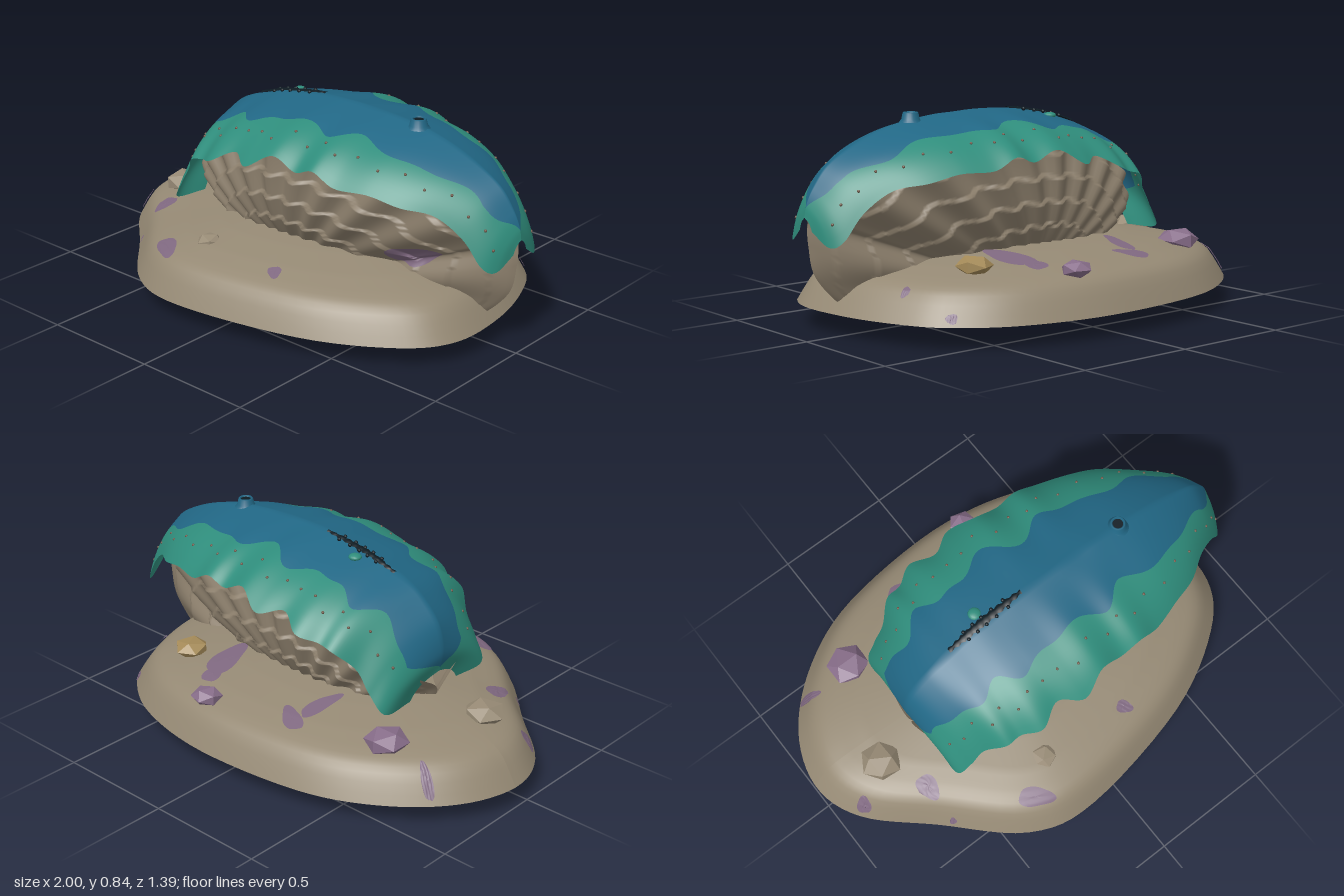
import * as THREE from 'three';

const mat = (name, color, flatShading = false) => {
  const m = new THREE.MeshStandardMaterial({ color, side: THREE.DoubleSide, flatShading });
  m.name = name;
  return m;
};

// Grid surface from fn(u, v); quads are ordered by v so that groups can be bands of v
function grid(fn, nu, nv) {
  const pos = [], idx = [];
  for (let j = 0; j <= nv; j++)
    for (let i = 0; i <= nu; i++) pos.push(...fn(i / nu, j / nv));
  for (let j = 0; j < nv; j++)
    for (let i = 0; i < nu; i++) {
      const a = j * (nu + 1) + i, b = a + nu + 1;
      idx.push(a, b, a + 1, a + 1, b, b + 1);
    }
  const g = new THREE.BufferGeometry();
  g.setAttribute('position', new THREE.Float32BufferAttribute(pos, 3));
  g.setIndex(idx);
  g.computeVertexNormals();
  return g;
}

const curve = (pts, closed = false) =>
  new THREE.CatmullRomCurve3(pts.map(p => new THREE.Vector3(...p)), closed, 'catmullrom', 0.5);
const clamp01 = x => Math.min(1, Math.max(0, x));

// Reef rock: outline (x, z) and height by distance from the middle
const CX = -.06;
const OUTLINE = curve([
  [-1, 0, -.08], [-.915, 0, -.32], [-.7, 0, -.525], [-.4, 0, -.655], [.08, 0, -.7], [.46, 0, -.63],
  [.7, 0, -.48], [.81, 0, -.3], [.88, 0, -.05], [.88, 0, .22], [.74, 0, .41], [.4, 0, .59],
  [-.13, 0, .69], [-.42, 0, .625], [-.7, 0, .365], [-.93, 0, .14]], true);
const OUTLINE_POINTS = OUTLINE.getPoints(400);
const PROFILE = [[0, .32], [.3, .318], [.5, .303], [.7, .277], [.82, .252], [.88, .234], [.92, .21], [.96, .16], [1, .1]];
function rockHeight(r) {
  let k = 1;
  while (k < PROFILE.length - 1 && r > PROFILE[k][0]) k++;
  const [r0, y0] = PROFILE[k - 1], [r1, y1] = PROFILE[k];
  return y0 + (y1 - y0) * (r - r0) / (r1 - r0);
}
function rockPoint(t, r) {
  const o = OUTLINE.getPoint(t);
  return [CX + (o.x - CX) * r, rockHeight(r), o.z * r];
}
// Point just above the rock at a given x and z
function onRock(x, z) {
  const dx = x - CX, d = Math.hypot(dx, z);
  let best = -2, reach = 1;
  for (const o of OUTLINE_POINTS) {
    const ox = o.x - CX, len = Math.hypot(ox, o.z), c = (ox * dx + o.z * z) / (len * d);
    if (c > best) { best = c; reach = len; }
  }
  const r = Math.min(d / reach, 1), out = r > .85 ? 1.006 : 1;
  return [CX + dx * r * reach / d * out, rockHeight(r) + .005, z * r * reach / d * out];
}

// Valve: edge points seen from the front [x, y, rim depth, belly depth], fanning out from the hinge
const EDGE = [
  [.12, .06, 0, 0], [.35, .01, 0, .045], [.6, .03, 0, .07], [.8, .1, 0, .1], [.95, .24, 0, .13],
  [.985, .37, 0, .14], [.985, .46, .005, .13], [.95, .48, .055, .1], [.86, .54, .11, .085], [.7, .635, .19, .07],
  [.45, .7, .24, .06], [.1, .73, .265, .06], [-.2, .7, .255, .06], [-.38, .6, .22, .06], [-.49, .5, .17, .07],
  [-.545, .41, .1, .1], [-.55, .33, .01, .12], [-.49, .23, 0, .1], [-.38, .14, 0, .07], [-.2, .06, 0, .04], [-.1, .075, 0, 0]];
const RIM = curve(EDGE.map(e => e.slice(0, 3)));
const BELLY = curve(EDGE.map(e => [e[3], 0, 0]));
function valvePoint(t, s, side, lift = 0) {
  const o = RIM.getPoint(t), dx = o.x, dy = o.y - .1;
  let a = Math.atan2(dy, dx);
  if (a < -Math.PI / 2) a += Math.PI * 2;
  const swell = Math.max(0, Math.sin(Math.PI * s ** .9)) ** .8;
  const body = Math.max(0, o.z) * (1 - (1 - s) ** 3) + Math.max(0, BELLY.getPoint(t).x) * swell;
  // radial ribs and stepped growth ridges fade out towards the closed edge
  const fade = Math.min(1, body / .14);
  const wave = Math.cos(a * 24 + .6);
  const n = s * 6.5 + .08 * wave;
  const step = s > .3 ? .013 * (n - Math.floor(n)) ** 2 : 0;
  return [dx * s, .1 + dy * s, side * (body + fade * (.02 * s * wave + step) + lift)];
}

// Mantle stations: [ridge x, ridge y, edge x, edge y, edge z]
const STATIONS = [
  [-.55, .41, -.525, .32, .14], [-.565, .5, -.535, .33, .29], [-.535, .61, -.48, .41, .32], [-.45, .7, -.42, .5, .33],
  [-.37, .745, -.35, .57, .385], [-.28, .775, -.28, .59, .39], [-.2, .8, -.2, .615, .43], [-.12, .815, -.1, .665, .385],
  [-.02, .83, 0, .645, .44], [.08, .838, .11, .705, .4], [.2, .84, .22, .665, .395], [.3, .835, .31, .69, .395],
  [.4, .83, .41, .645, .385], [.55, .81, .54, .64, .345], [.68, .775, .66, .61, .305], [.8, .725, .77, .585, .235],
  [.9, .665, .87, .505, .19], [.96, .59, .94, .405, .165], [.99, .53, .975, .38, .12], [1, .48, .995, .43, .04]];
const LAST = STATIONS.length - 1;
const RIDGE = curve(STATIONS.map(s => [s[0], s[1], 0]));
const FRILL = curve(STATIONS.map(s => s.slice(2)));
function mantlePoint(t, u, lift = 0) {
  const c = RIDGE.getPoint(t), e = FRILL.getPoint(t), k = Math.abs(u);
  const drop = .5 * k + .5 * k ** 4;
  return [c.x + (e.x - c.x) * k, c.y + (e.y - c.y) * drop + lift, e.z * u * (u < 0 ? 1.04 : 1)];
}

export function createModel() {
  const model = new THREE.Group();
  const rockMat = mat('rock', 0x958974), shellMat = mat('shell', 0x8c7f6c);
  const stoneMat = mat('stone', 0x988b76, true), algae = mat('purple algae', 0x7f6880);
  const crystal = mat('purple stone', 0x886e8a, true), ochre = mat('ochre stone', 0xa48a58, true);
  const teal = mat('teal mantle', 0x2f8d7c), blue = mat('blue mantle', 0x216785);
  const dark = mat('dark opening', 0x0e1b22), brown = mat('brown spot', 0x6f5a4a);
  const add = (name, geo, material, parent = model) => {
    const m = new THREE.Mesh(geo, material);
    m.name = name;
    parent.add(m);
    return m;
  };

  add('reefRock', grid(rockPoint, 96, 40), rockMat);

  // Algae patches lying on the rock: [x, z, half length, half width, turn]
  const wobble = a => 1 + .12 * Math.sin(a * 3 + 1);
  [[-.8, -.375, .05, .02, .45], [-.22, -.49, .075, .035, .5], [-.26, -.37, .1, .035, 1.75], [.26, -.45, .055, .04, 1.2],
    [.29, -.34, .12, .06, 1.35], [-.65, .25, .055, .038, 1.4], [-.89, .13, .03, .025, 1], [-.33, .55, .075, .035, .6],
    [.19, .48, .035, .026, .7], [-.64, .4, .014, .009, .75], [.74, -.28, .018, .016, 0], [.68, -.478, .022, .01, .75]]
    .forEach(([x, z, l, w, turn]) => add('algaePatch', grid((u, v) => {
      const a = u * Math.PI * 2, k = v * wobble(a);
      const p = l * k * Math.cos(a), q = w * k * Math.sin(a), c = Math.cos(turn), s = Math.sin(turn);
      return onRock(x + p * c - q * s, z + p * s + q * c);
    }, 28, 6), algae));

  // Loose stones: [x, y, z, radius, material]
  [[-.6, .275, -.37, .09, crystal], [.16, .27, -.58, .065, crystal], [-.74, .275, .05, .088, stoneMat],
    [-.2, .275, .44, .055, stoneMat], [.48, .29, -.36, .075, ochre]].forEach(([x, y, z, r, m], i) => {
    const s = add('looseStone', new THREE.IcosahedronGeometry(r, 0), m);
    s.position.set(x, y, z);
    s.rotation.y = i * 1.3;
    s.scale.y = .55;
  });

  // Two mirrored valves
  for (const side of [1, -1])
    add(side > 0 ? 'frontValve' : 'backValve',
      grid((u, v) => valvePoint(side > 0 ? u : 1 - u, v, side), 220, 90), shellMat);
  add('shellAlgae', grid((u, v) => {
    const a = u * Math.PI * 2, k = v * wobble(a);
    return valvePoint((6.8 + 1.2 * k * Math.sin(a)) / (EDGE.length - 1), .64 + .1 * k * Math.cos(a), 1, .006);
  }, 28, 10), algae);

  // Mantle with a wavy blue band along the middle that runs out at both ends
  const NU = 160, NV = 40, A = 9, B = 31;
  const mantleGeo = grid((t, v) => {
    const i = t * LAST, j = Math.round(v * NV), side = j < NV / 2 ? -1 : 1;
    const f = (.53 + .06 * Math.sin(i * 1.9 + side) + .04 * Math.sin(i * 3.1))
      * clamp01((18.2 - i) / 2.2) * clamp01((i - .2) / 1.2);
    let u;
    if (j <= A) u = -1 + (1 - f) * j / A;
    else if (j >= B) u = f + (1 - f) * (j - B) / (NV - B);
    else u = f * (j - NV / 2) / (NV / 2 - A);
    return mantlePoint(t, u);
  }, NU, NV);
  const band = (a, b, m) => mantleGeo.addGroup(a * NU * 6, (b - a) * NU * 6, m);
  band(0, A, 0);
  band(A, B, 1);
  band(B, NV, 0);
  add('mantle', mantleGeo, [teal, blue]);

  // Rows of small spots near the frilled edge
  const spots = new THREE.Group();
  spots.name = 'mantleSpots';
  model.add(spots);
  const spotGeo = new THREE.SphereGeometry(.006, 8, 6);
  for (const side of [1, -1])
    for (let i = 0; i < 22; i++)
      add('spot', spotGeo, brown, spots).position.set(...mantlePoint((1.8 + i * .74) / LAST, side * (i % 2 ? .78 : .7)));

  // Long slit with short feelers
  const slitAt = u => (4.5 + 4 * u) / LAST;
  add('slit', grid((u, v) => {
    const p = mantlePoint(slitAt(u), 0, .008), w = v * 2 - 1;
    const half = .008 + .009 * Math.sin(Math.PI * u) + .003 * Math.sin(u * 70);
    return [p[0], p[1] - .006 * Math.abs(w), -.01 + w * half];
  }, 60, 4), dark);
  const feeler = new THREE.SphereGeometry(.008, 8, 6);
  for (let i = 0; i < 5; i++)
    for (const side of [1, -1]) {
      const p = mantlePoint(slitAt(.25 + i * .14), 0, .002);
      add('feeler', feeler, dark).position.set(p[0], p[1], -.01 + side * .018);
    }
  const bump = add('mantleBump', new THREE.SphereGeometry(.027, 14, 8), teal);
  bump.position.set(-.16, .797, -.06);
  bump.scale.y = .5;

  // Siphon: short flared tube with a dark mouth
  const siphon = add('siphon', new THREE.LatheGeometry(
    [[.046, 0], [.036, .012], [.031, .035], [.027, .04], [.021, .036], [.02, .02]].map(p => new THREE.Vector2(...p)), 20), blue);
  siphon.position.set(.505, .806, 0);
  const mouth = add('siphonMouth', new THREE.CircleGeometry(.021, 20), dark);
  mouth.rotation.x = -Math.PI / 2;
  mouth.position.set(.505, .84, 0);

  return model;
}
